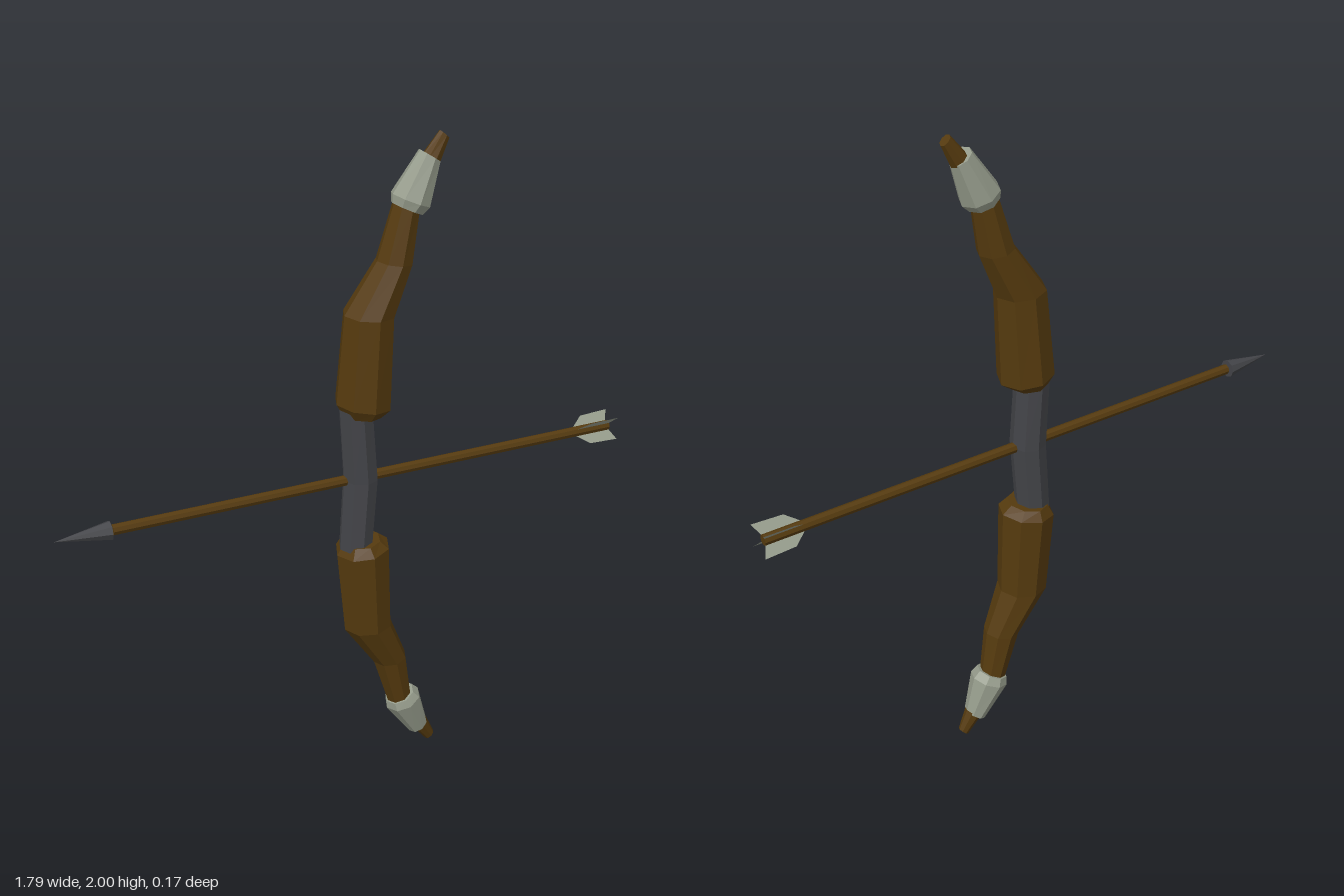
import * as THREE from 'three';

const mat = (name, color, side = THREE.FrontSide) => {
  const m = new THREE.MeshStandardMaterial({ color, side, flatShading: true });
  m.name = name;
  return m;
};

// Octagonal loft through rings listed bottom to top: [xLeft, yLeft, xRight, yRight, zHalf]
function loft(rings, sides = 8) {
  const pos = [], idx = [], centres = [];
  for (const [xl, yl, xr, yr, rz] of rings) {
    const cx = (xl + xr) / 2, cy = (yl + yr) / 2;
    centres.push([cx, cy, 0]);
    for (let i = 0; i < sides; i++) {
      const a = (i / sides) * Math.PI * 2;
      pos.push(cx + Math.cos(a) * (xr - cx), cy + Math.cos(a) * (yr - cy), Math.sin(a) * rz);
    }
  }
  const last = (rings.length - 1) * sides, bottom = rings.length * sides;
  pos.push(...centres[0], ...centres[rings.length - 1]);
  for (let i = 0; i < sides; i++) {
    const j = (i + 1) % sides;
    for (let r = 0; r < last; r += sides) {
      idx.push(r + i, r + sides + i, r + j, r + j, r + sides + i, r + sides + j);
    }
    idx.push(bottom, i, j, bottom + 1, last + j, last + i);
  }
  const g = new THREE.BufferGeometry();
  g.setAttribute('position', new THREE.Float32BufferAttribute(pos, 3));
  g.setIndex(idx);
  const flat = g.toNonIndexed();
  flat.computeVertexNormals();
  return flat;
}

// Mirror rings about the grip's centre line at y = 1
const mirror = (rings) => rings.map(([xl, yl, xr, yr, rz]) => [xl, 2 - yl, xr, 2 - yr, rz]).reverse();

export function createModel() {
  const model = new THREE.Group();
  model.name = 'bowAndArrow';
  const wood = mat('brown wood', 0x553a0e);
  const grip = mat('dark grip', 0x434448);
  const pale = mat('pale grey', 0x959b8b, THREE.DoubleSide);

  const add = (parent, name, geometry, material) => {
    const mesh = new THREE.Mesh(geometry, material);
    mesh.name = name;
    parent.add(mesh);
    return mesh;
  };

  // Bow: profiles of the upper half
  const limb = [
    [-0.035, 1.21, 0.08, 1.2, 0.067],
    [-0.055, 1.245, 0.11, 1.222, 0.086],
    [-0.03, 1.51, 0.12, 1.5, 0.076],
    [0.07, 1.655, 0.175, 1.64, 0.055],
    [0.122, 1.82, 0.195, 1.79, 0.042],
  ];
  const binding = [
    [0.115, 1.815, 0.203, 1.775, 0.05],
    [0.116, 1.84, 0.225, 1.795, 0.06],
    [0.198, 1.953, 0.256, 1.915, 0.035],
  ];
  const tip = [
    [0.2, 1.93, 0.249, 1.897, 0.03],
    [0.257, 2.0, 0.284, 1.975, 0.016],
  ];
  const bow = new THREE.Group();
  bow.name = 'bow';
  model.add(bow);
  for (const [side, place] of [['upper', (rings) => rings], ['lower', mirror]]) {
    add(bow, side + 'Limb', loft(place(limb)), wood);
    add(bow, side + 'Binding', loft(place(binding)), pale);
    add(bow, side + 'Tip', loft(place(tip)), wood);
  }

  // Slightly bent grip
  add(bow, 'grip', loft([
    [-0.045, 0.77, 0.055, 0.77, 0.055],
    [-0.032, 1, 0.073, 1, 0.056],
    [-0.045, 1.23, 0.055, 1.23, 0.055],
  ]), grip);

  // Arrow lying along x, pointing to -x
  const arrow = new THREE.Group();
  arrow.name = 'arrow';
  arrow.position.y = 1;
  model.add(arrow);
  const shaft = add(arrow, 'shaft', new THREE.CylinderGeometry(0.016, 0.016, 1.61, 8), wood);
  shaft.rotation.z = Math.PI / 2;
  shaft.position.x = 0.07;
  const head = add(arrow, 'arrowHead', new THREE.ConeGeometry(0.028, 0.16, 8), grip);
  head.rotation.z = Math.PI / 2;
  head.position.x = -0.82;

  // Four diagonal feathers, notched at the back
  const fin = new THREE.Shape([[0.75, 0.01], [0.795, 0.047], [0.89, 0.051], [0.872, 0.01]]
    .map(([x, y]) => new THREE.Vector2(x, y)));
  for (let i = 0; i < 4; i++) {
    add(arrow, 'feather' + (i + 1), new THREE.ShapeGeometry(fin), pale)
      .rotation.x = Math.PI / 4 + i * Math.PI / 2;
  }
  return model;
}
